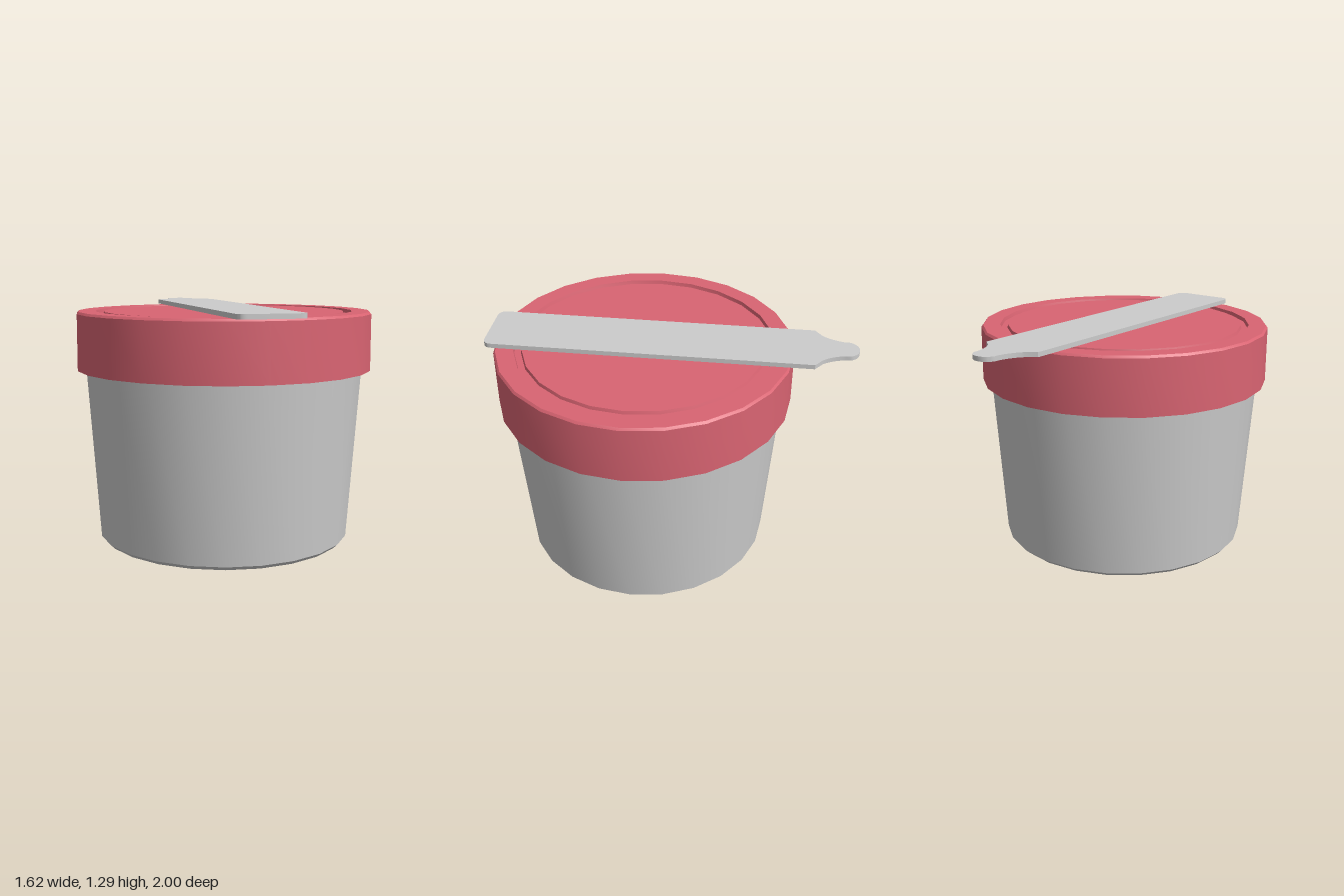
import * as THREE from 'three';
import { toCreasedNormals } from 'three/addons/utils/BufferGeometryUtils.js';

const SIDES = 24;
const TUB_Z = 0.15;

// Turned part: smooth around, sharp along the profile edges
function turned(name, profile, material) {
  const points = profile.map(([r, y]) => new THREE.Vector2(r, y));
  const geometry = toCreasedNormals(new THREE.LatheGeometry(points, SIDES), 0.5);
  const mesh = new THREE.Mesh(geometry, material);
  mesh.name = name;
  mesh.position.z = TUB_Z;
  return mesh;
}

// Half outline of the flat spoon, mirrored about its long axis; shape y is -z
function spoonShape() {
  const shape = new THREE.Shape();
  const w = 0.177, r = 0.05, tip = 0.07;
  shape.moveTo(-w + r, -1);
  shape.lineTo(w - r, -1);
  shape.quadraticCurveTo(w, -1, w, -1 + r);
  shape.lineTo(w, 0.765);
  shape.lineTo(0.125, 0.805);
  shape.quadraticCurveTo(0.085, 0.85, tip, 0.925);
  shape.lineTo(tip, 0.95);
  shape.bezierCurveTo(0.06, 0.98, 0.035, 1, 0, 1);
  shape.bezierCurveTo(-0.035, 1, -0.06, 0.98, -tip, 0.95);
  shape.lineTo(-tip, 0.925);
  shape.quadraticCurveTo(-0.085, 0.85, -0.125, 0.805);
  shape.lineTo(-w, 0.765);
  shape.lineTo(-w, -1 + r);
  shape.quadraticCurveTo(-w, -1, -w + r, -1);
  return shape;
}

export function createModel() {
  const model = new THREE.Group();
  model.name = 'tubWithSpoon';
  const grey = new THREE.MeshStandardMaterial({ color: 0xcccccc });
  const red = new THREE.MeshStandardMaterial({ color: 0xd96472 });

  // Tapered tub with a bevelled foot and a shallow round dimple underneath
  model.add(turned('tub', [
    [0, 0.015], [0.285, 0.015], [0.312, 0], [0.68, 0],
    [0.702, 0.022], [0.765, 0.96], [0, 0.96],
  ], grey));

  // Lid with a bevelled rim and a ring groove on top
  model.add(turned('lid', [
    [0.745, 0.95], [0.812, 0.95], [0.81, 1.253], [0.8, 1.265], [0.705, 1.265],
    [0.7, 1.245], [0.665, 1.245], [0.66, 1.262], [0, 1.262],
  ], red));

  // Flat spoon lying across the lid
  const spoonGeometry = new THREE.ExtrudeGeometry(spoonShape(), {
    depth: 0.025, bevelEnabled: false, curveSegments: 8,
  });
  spoonGeometry.rotateX(-Math.PI / 2);
  const spoon = new THREE.Mesh(toCreasedNormals(spoonGeometry, 0.5), grey);
  spoon.name = 'spoon';
  spoon.position.y = 1.265;
  model.add(spoon);

  return model;
}
